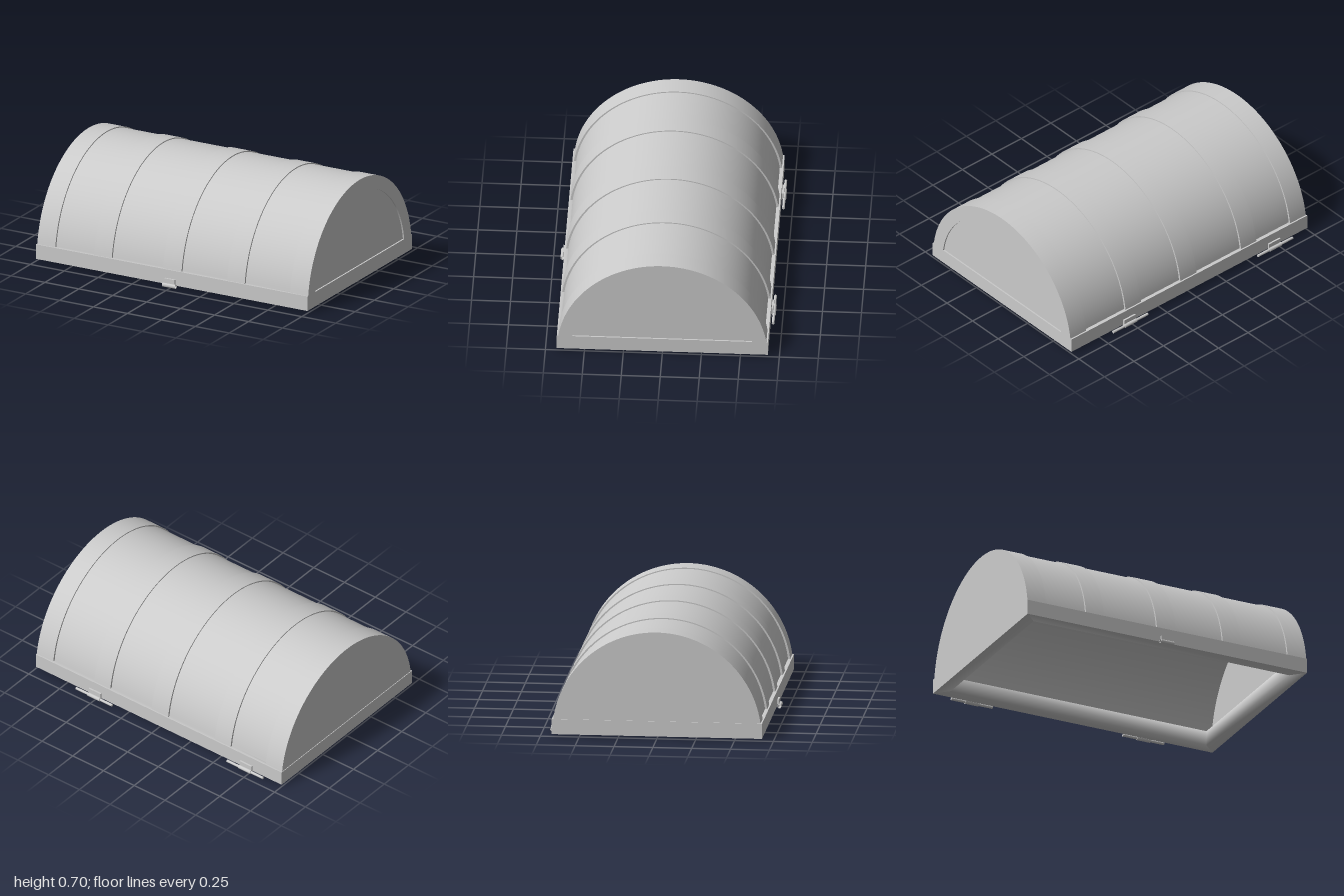
import * as THREE from 'three';
import { toCreasedNormals } from 'three/addons/utils/BufferGeometryUtils.js';

const material = new THREE.MeshStandardMaterial({ color: 0xcccccc });
const RIM_TOP = 0.114;   // where the vault meets the rim
const RIM_BOTTOM = 0.015;
const RIM_DEPTH = 0.677; // half depth of the rim
const RIM_WIDTH = 0.085;

// Each arch is given by its half width on the rim and its highest point
const INSET = [0.576, 0.608], LINING = [0.645, 0.682], SHELL = [0.653, 0.69], BAND = [0.667, 0.697];

function add(parent, name, geometry, x = 0, y = 0, z = 0) {
  const mesh = new THREE.Mesh(geometry, material);
  mesh.name = name;
  mesh.position.set(x, y, z);
  parent.add(mesh);
  return mesh;
}

// Points of a circular arch standing on the rim
function arc([halfWidth, top], steps = 72) {
  const rise = top - RIM_TOP;
  const radius = (halfWidth ** 2 + rise ** 2) / (2 * rise);
  const centerY = top - radius;
  const start = Math.asin((RIM_TOP - centerY) / radius);
  return Array.from({ length: steps + 1 }, (_, i) => {
    const a = start + (Math.PI - 2 * start) * i / steps;
    return new THREE.Vector2(Math.cos(a) * radius, centerY + Math.sin(a) * radius);
  });
}

// Extrude a cross-section along x between two positions
function alongX(points, x0, x1) {
  const geometry = new THREE.ExtrudeGeometry(new THREE.Shape(points), { depth: x1 - x0, bevelEnabled: false });
  geometry.rotateY(Math.PI / 2).translate(x0, 0, 0);
  return toCreasedNormals(geometry, 0.5);
}

const vault = (outer, inner, x0, x1) => alongX([...arc(outer), ...arc(inner).reverse()], x0, x1);

// Rim profile as [inset, height] strips: smooth inside a strip, sharp between them
const rimStrips = [
  [[0, RIM_TOP], [0, RIM_BOTTOM]],
  [[0, RIM_BOTTOM], [RIM_WIDTH, RIM_BOTTOM], [RIM_WIDTH, RIM_TOP], [0, RIM_TOP]],
];

// One mitred side of the rim, from corner a to corner b
function rimSide(a, b) {
  const positions = [], index = [];
  for (const strip of rimStrips) {
    strip.forEach(([inset, y], k) => {
      const i = positions.length / 3;
      for (const [sx, sz] of [a, b]) positions.push(sx * (1 - inset), y, sz * (RIM_DEPTH - inset));
      if (k > 0) index.push(i - 2, i, i + 1, i - 2, i + 1, i - 1);
    });
  }
  const geometry = new THREE.BufferGeometry();
  geometry.setAttribute('position', new THREE.Float32BufferAttribute(positions, 3));
  geometry.setIndex(index);
  geometry.computeVertexNormals();
  return geometry;
}

export function createModel() {
  const lid = new THREE.Group();
  lid.name = 'chestLid';

  // Thin curved vault and the raised bands around it
  add(lid, 'vault', vault(SHELL, LINING, -0.99, 0.99));
  const bands = [[-0.996, -0.863], [-0.577, -0.447], [-0.069, 0.067], [0.402, 0.532], [0.866, 1]];
  for (const [x0, x1] of bands) add(lid, 'band', vault(BAND, SHELL, x0, x1));

  // End walls: one plain, one with a flat border around a shallow recess
  add(lid, 'rightEndPanel', alongX(arc(SHELL), -0.996, -0.985));
  add(lid, 'leftEndPanel', alongX(arc(SHELL), 0.978, 0.99));
  add(lid, 'leftEndBorder', vault(SHELL, INSET, 0.99, 1));

  // Rectangular rim
  const corners = [[-1, 1], [1, 1], [1, -1], [-1, -1]];
  corners.forEach((corner, i) => add(lid, 'rim', rimSide(corner, corners[(i + 1) % 4])));

  // Hinges on the back: a pin with a small leaf
  for (const x of [-0.715, 0.513]) {
    const hinge = new THREE.Group();
    hinge.name = 'hinge';
    hinge.position.set(x, 0, 0);
    add(hinge, 'hingePin', new THREE.CylinderGeometry(0.009, 0.009, 0.294, 20).rotateZ(Math.PI / 2), 0, 0.013, -0.692);
    add(hinge, 'hingeKnuckle', new THREE.CylinderGeometry(0.013, 0.013, 0.096, 20).rotateZ(Math.PI / 2), 0, 0.013, -0.692);
    add(hinge, 'hingeLeaf', new THREE.BoxGeometry(0.096, 0.042, 0.014), 0, 0.034, -0.682);
    lid.add(hinge);
  }

  // Latch on the front: a plate over a hollow knuckle
  const latch = new THREE.Group();
  latch.name = 'latch';
  latch.position.x = -0.009;
  const ring = new THREE.Shape().absarc(0, 0, 0.013, 0, Math.PI * 2);
  ring.holes.push(new THREE.Path().absarc(0, 0, 0.01, 0, Math.PI * 2, true));
  const tube = new THREE.ExtrudeGeometry(ring, { depth: 0.096, bevelEnabled: false, curveSegments: 20 });
  tube.translate(0, 0, -0.048).rotateY(Math.PI / 2);
  add(latch, 'latchKnuckle', toCreasedNormals(tube, 0.6), 0, 0.013, 0.692);
  add(latch, 'latchPlate', new THREE.BoxGeometry(0.076, 0.033, 0.014), 0, 0.0395, 0.682);
  lid.add(latch);

  return lid;
}
